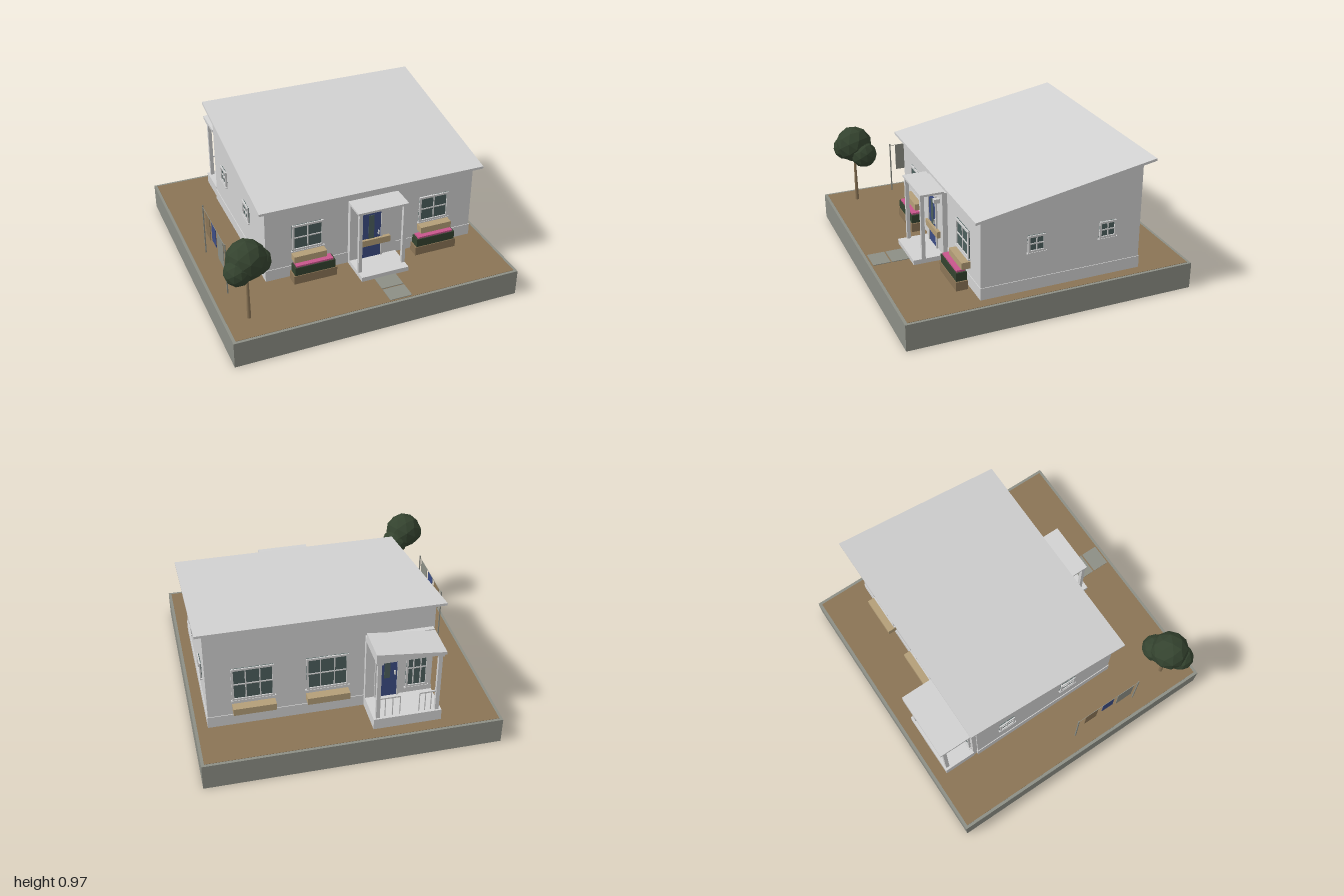
import * as THREE from 'three';

const mat = (name, color, extra = {}) => Object.assign(new THREE.MeshStandardMaterial({ color, ...extra }), { name });

export function createModel() {
  const white = mat('white render', 0xd2d2d2);
  const stone = mat('stone', 0x8c8e85);
  const soil = mat('brown earth', 0x8a7455);
  const tan = mat('tan wood', 0xb49e78);
  const blue = mat('blue paint', 0x3c4c84);
  const leaf = mat('dark green', 0x34432f, { flatShading: true });
  const glass = mat('green glass', 0x4c5f5d);
  const pink = mat('pink flowers', 0xc8568c);

  const model = new THREE.Group();
  model.name = 'cottage';

  const add = (parent, name, geometry, material) => {
    const mesh = new THREE.Mesh(geometry, material);
    mesh.name = name;
    parent.add(mesh);
    return mesh;
  };
  // Box given by its lower and upper limits on each axis
  const box = (name, material, x0, x1, y0, y1, z0, z1, parent = model) => {
    const mesh = add(parent, name, new THREE.BoxGeometry(x1 - x0, y1 - y0, z1 - z0), material);
    mesh.position.set((x0 + x1) / 2, (y0 + y1) / 2, (z0 + z1) / 2);
    return mesh;
  };
  // Side profile of [z, y] points, extruded from x0 to x1
  const sideProfile = (name, material, points, x0, x1) => {
    const shape = new THREE.Shape(points.map(([z, y]) => new THREE.Vector2(-z, y)));
    const geometry = new THREE.ExtrudeGeometry(shape, { depth: x1 - x0, bevelEnabled: false });
    geometry.rotateY(Math.PI / 2);
    geometry.translate(x0, 0, 0);
    return add(model, name, geometry, material);
  };
  const group = (name, x, y, z, turn = 0) => {
    const g = new THREE.Group();
    g.name = name;
    g.position.set(x, y, z);
    g.rotation.y = turn;
    model.add(g);
    return g;
  };

  // Plot
  const G = 0.185;
  box('base', stone, -1, 1, 0, G, -1, 1);
  box('ground', soil, -0.98, 0.98, G - 0.005, G + 0.002, -0.98, 0.98);
  for (const z of [0.72, 0.85]) box('paver', stone, 0.07, 0.225, G, G + 0.006, z, z + 0.12);

  // House body, plinth and single-pitch roof
  sideProfile('walls', white, [[0.475, G], [-0.64, G], [-0.64, 0.95], [0.475, 0.75]], -0.605, 0.905);
  box('plinth', white, -0.61, 0.91, G, 0.27, -0.645, 0.48);
  sideProfile('roof', white, [[0.525, 0.737], [-0.705, 0.957], [-0.705, 0.974], [0.525, 0.754]], -0.655, 0.955);

  // Window facing +z: glass plate, frame, glazing bars, sill
  const addWindow = (x, y, z, w, h, cols, turn = 0) => {
    const g = group('window', x, y, z, turn);
    const t = 0.014, W = w / 2, H = h / 2;
    box('windowGlass', glass, -W, W, -H, H, 0, 0.005, g);
    for (const s of [-1, 1]) {
      box('frameSide', white, s * (W - t / 2) - t / 2, s * (W - t / 2) + t / 2, -H, H, 0, 0.013, g);
      box('frameRail', white, -W, W, s * (H - t / 2) - t / 2, s * (H - t / 2) + t / 2, 0, 0.013, g);
    }
    for (let i = 1; i < cols; i++) {
      const u = -W + (w * i) / cols;
      box('glazingBar', white, u - 0.004, u + 0.004, -H, H, 0, 0.01, g);
    }
    box('glazingRail', white, -W, W, -0.004, 0.004, 0, 0.01, g);
    box('sill', white, -W - 0.008, W + 0.008, -H - 0.008, -H, 0, 0.016, g);
  };

  // Front windows with flower boxes and planters
  for (const [xw, xp] of [[-0.31, -0.293], [0.615, 0.595]]) {
    addWindow(xw, 0.485, 0.475, 0.22, 0.195, 2);
    box('windowBox', tan, xw - 0.115, xw + 0.115, 0.323, 0.37, 0.475, 0.535);
    box('planter', soil, xp - 0.153, xp + 0.153, G, 0.25, 0.5, 0.58);
    box('hedge', leaf, xp - 0.143, xp + 0.143, 0.25, 0.31, 0.503, 0.575);
    box('flowers', pink, xp - 0.13, xp + 0.13, 0.31, 0.322, 0.51, 0.568);
  }
  // Side windows
  for (const z of [0.1, -0.4]) {
    addWindow(0.905, 0.517, z, 0.12, 0.117, 2, Math.PI / 2);
    addWindow(-0.605, 0.517, z, 0.12, 0.117, 2, -Math.PI / 2);
  }
  // Back windows with boxes
  for (const x of [0.11, 0.6]) {
    addWindow(x, 0.515, -0.64, 0.28, 0.25, 3, Math.PI);
    box('backWindowBox', tan, x - 0.142, x + 0.142, 0.305, 0.355, -0.702, -0.64);
  }

  // Door facing +z, standing on its threshold
  const addDoor = (x, y, z, turn) => {
    const g = group('door', x, y, z, turn);
    box('doorLeaf', blue, -0.07, 0.07, 0, 0.375, 0, 0.006, g);
    box('doorGlass', glass, -0.02, 0.02, 0.15, 0.335, 0.006, 0.009, g);
    for (const s of [-1, 1]) box('doorJamb', white, s * 0.076 - 0.007, s * 0.076 + 0.007, 0, 0.39, 0, 0.012, g);
    box('doorHead', white, -0.083, 0.083, 0.375, 0.39, 0, 0.012, g);
    box('doorHandle', white, 0.048, 0.057, 0.175, 0.205, 0.006, 0.018, g);
  };

  // Front porch
  box('entrySurround', white, -0.02, 0.32, G, 0.675, 0.47, 0.51);
  box('porchFloor', white, -0.02, 0.32, G, 0.22, 0.51, 0.72);
  box('porchRoof', white, -0.03, 0.33, 0.675, 0.69, 0.5, 0.665);
  for (const x of [-0.008, 0.308]) {
    box('porchPost', white, x - 0.012, x + 0.012, 0.22, 0.675, 0.635, 0.66);
  }
  addDoor(0.133, 0.22, 0.51, 0);
  box('doorBox', tan, 0.038, 0.268, 0.323, 0.37, 0.51, 0.535);
  box('porchLight', white, 0.245, 0.275, 0.585, 0.615, 0.51, 0.55);

  // Back porch with a wedge roof falling to one side
  box('backSurround', white, -0.595, -0.14, G, 0.76, -0.672, -0.635);
  box('backPorchFloor', white, -0.6, -0.14, G, 0.267, -0.9, -0.67);
  const wedge = new THREE.Shape([[-0.6, 0.73], [-0.14, 0.73], [-0.14, 0.8], [-0.6, 0.75]].map((p) => new THREE.Vector2(...p)));
  const canopy = add(model, 'backPorchRoof', new THREE.ExtrudeGeometry(wedge, { depth: 0.24, bevelEnabled: false }), white);
  canopy.position.z = -0.912;
  for (const x of [-0.57, -0.17]) {
    box('backPost', white, x - 0.013, x + 0.013, 0.267, 0.73, -0.888, -0.862);
    box('postCapital', white, x - 0.022, x + 0.022, 0.705, 0.73, -0.897, -0.853);
  }
  for (const [x0, x1] of [[-0.57, -0.45], [-0.32, -0.17]]) {
    box('railing', white, x0, x1, 0.41, 0.42, -0.88, -0.87);
    for (let i = 0; i < 4; i++) {
      const x = x0 + ((x1 - x0) * i) / 3;
      box('baluster', white, x - 0.003, x + 0.003, 0.267, 0.41, -0.878, -0.872);
    }
  }
  addDoor(-0.285, 0.267, -0.672, Math.PI);
  addWindow(-0.49, 0.47, -0.672, 0.15, 0.3, 3, Math.PI);

  // Clothes line with washing
  for (const z of [0, 0.5]) box('linePost', stone, -0.884, -0.876, G, 0.57, z - 0.004, z + 0.004);
  box('clothesLine', stone, -0.8815, -0.8785, 0.555, 0.558, 0, 0.5);
  for (const [material, z, w, h] of [[soil, 0.11, 0.1, 0.17], [blue, 0.25, 0.09, 0.14], [stone, 0.395, 0.13, 0.2]]) {
    box('washing', material, -0.882, -0.878, 0.557 - h, 0.557, z - w / 2, z + w / 2);
  }

  // Tree
  const trunk = add(model, 'trunk', new THREE.CylinderGeometry(0.008, 0.014, 0.35, 8), soil);
  trunk.position.set(-0.83, G + 0.175, 0.79);
  for (const [x, y, z, r] of [[-0.83, 0.635, 0.79, 0.132], [-0.9, 0.59, 0.835, 0.092], [-0.75, 0.575, 0.74, 0.096]]) {
    const crown = add(model, 'treeCrown', new THREE.IcosahedronGeometry(r, 1), leaf);
    crown.position.set(x, y, z);
    crown.rotation.y = x * 7;
  }
  return model;
}
